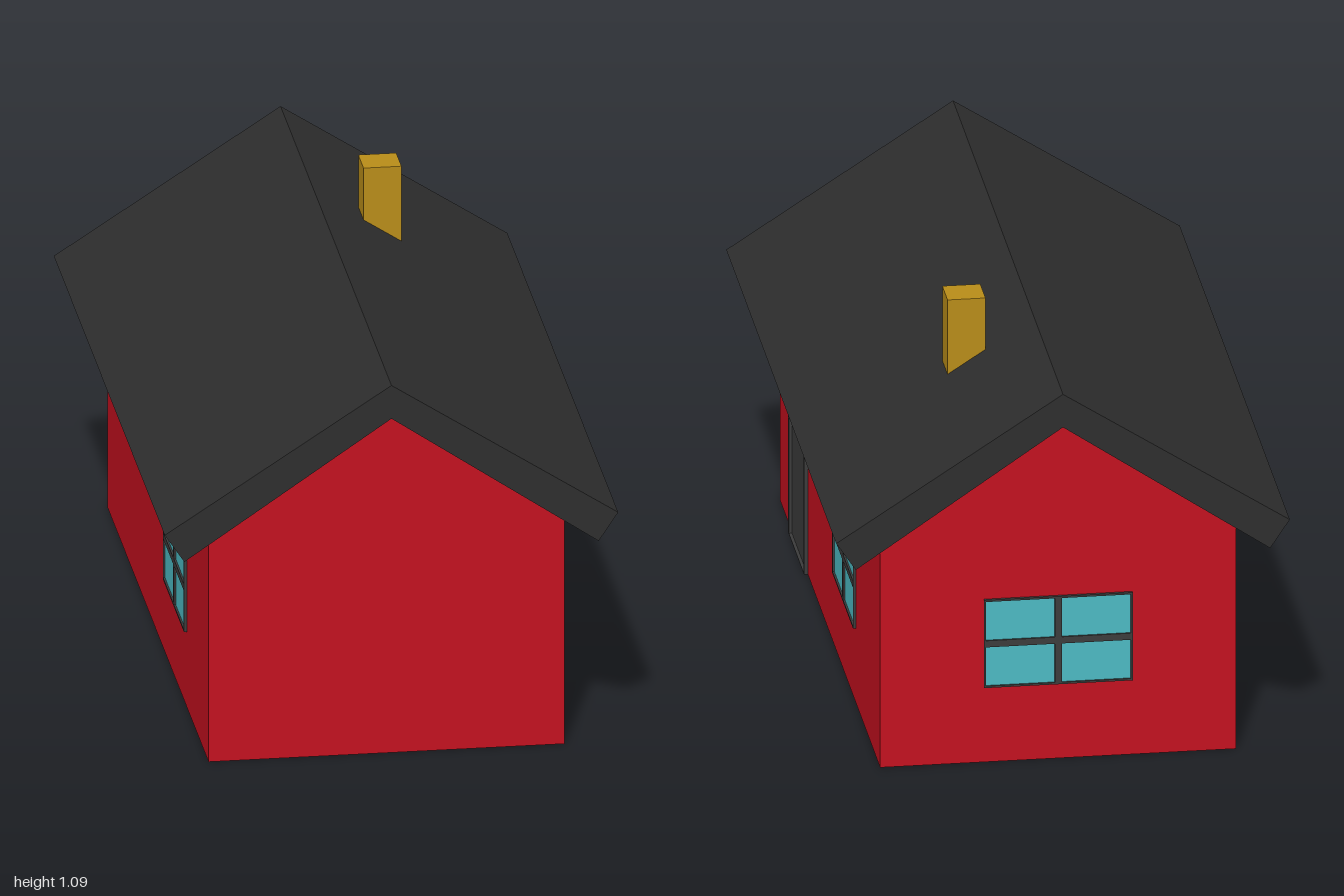
import * as THREE from 'three';

const W = 0.455, L = 0.91, EAVE = 0.631, PEAK = 0.94;

const mat = (color, side = THREE.FrontSide) =>
  new THREE.MeshStandardMaterial({ color, side, flatShading: true });

function add(parent, name, geometry, material, x = 0, y = 0, z = 0) {
  const mesh = new THREE.Mesh(geometry, material);
  mesh.name = name;
  mesh.position.set(x, y, z);
  parent.add(mesh);
  return mesh;
}

function rect(target, x0, y0, x1, y1) {
  target.moveTo(x0, y0);
  target.lineTo(x1, y0);
  target.lineTo(x1, y1);
  target.lineTo(x0, y1);
  target.closePath();
  return target;
}

const polygon = (points) => new THREE.Shape(points.map(([x, y]) => new THREE.Vector2(x, y)));

export function createModel() {
  const house = new THREE.Group();
  house.name = 'house';
  const red = mat(0xc30f1e, THREE.DoubleSide);
  const roofGrey = mat(0x2d2d2d);
  const trimGrey = mat(0x3b3b3b);
  const glass = mat(0x4cbac3);
  const gold = mat(0xb88c18);

  // Thin walls, open at the bottom
  const gable = new THREE.ShapeGeometry(
    polygon([[-W, 0], [W, 0], [W, EAVE], [0, PEAK], [-W, EAVE]]));
  add(house, 'frontWall', gable, red, 0, 0, L);
  add(house, 'backWall', gable, red, 0, 0, -L).rotation.y = Math.PI;
  for (const [name, s] of [['leftWall', 1], ['rightWall', -1]]) {
    const wall = add(house, name, new THREE.PlaneGeometry(2 * L, EAVE), red, s * W, EAVE / 2, 0);
    wall.rotation.y = s * Math.PI / 2;
  }

  // Roof: one thick chevron running the full length
  const chevron = polygon([
    [0, 1.03], [-0.58, 0.655], [-0.53, 0.58], [0, PEAK], [0.53, 0.58], [0.58, 0.655]]);
  add(house, 'roof', new THREE.ExtrudeGeometry(chevron, { depth: 2, bevelEnabled: false }),
    roofGrey, 0, 0, -1);

  // Chimney, its foot hidden inside the roof
  add(house, 'chimney', new THREE.BoxGeometry(0.097, 0.23, 0.095), gold, 0.173, 0.975, -0.428);

  // Four-pane window facing local +z, backed by a solid panel
  function makeWindow(name, x, z, turn) {
    const group = new THREE.Group();
    group.name = name;
    const w = 0.19, h = 0.12, edge = 0.005, bar = 0.009;
    const frame = rect(new THREE.Shape(), -w, -h, w, h);
    for (const sx of [-1, 1]) for (const sy of [-1, 1]) {
      const xs = [sx * bar, sx * (w - edge)].sort((a, b) => a - b);
      const ys = [sy * bar, sy * (h - edge)].sort((a, b) => a - b);
      frame.holes.push(rect(new THREE.Path(), xs[0], ys[0], xs[1], ys[1]));
      add(group, 'pane', new THREE.PlaneGeometry(xs[1] - xs[0], ys[1] - ys[0]), glass,
        (xs[0] + xs[1]) / 2, (ys[0] + ys[1]) / 2, 0.003);
    }
    add(group, 'windowFrame',
      new THREE.ExtrudeGeometry(frame, { depth: 0.008, bevelEnabled: false }), trimGrey);
    add(group, 'windowBack', new THREE.BoxGeometry(2 * w, 2 * h, 0.01), trimGrey, 0, 0, -0.003);
    group.position.set(x, 0.325, z);
    group.rotation.y = turn;
    house.add(group);
  }
  makeWindow('leftWindow', W, -0.285, Math.PI / 2);
  makeWindow('rightWindow', -W, 0.33, -Math.PI / 2);
  makeWindow('backWindow', 0, -L, Math.PI);

  // Door: slim raised frame around a recessed panel
  const door = new THREE.Group();
  door.name = 'door';
  const dw = 0.143, dh = 0.432, rim = 0.01;
  const doorFrame = rect(new THREE.Shape(), -dw, 0, dw, dh);
  doorFrame.holes.push(rect(new THREE.Path(), -dw + rim, 0.002, dw - rim, dh - rim));
  add(door, 'doorFrame',
    new THREE.ExtrudeGeometry(doorFrame, { depth: 0.01, bevelEnabled: false }), trimGrey);
  add(door, 'doorPanel', new THREE.PlaneGeometry(2 * dw - rim, dh - rim / 2), trimGrey,
    0, dh / 2, 0.002);
  door.position.set(W, 0, 0.547);
  door.rotation.y = Math.PI / 2;
  house.add(door);

  return house;
}
